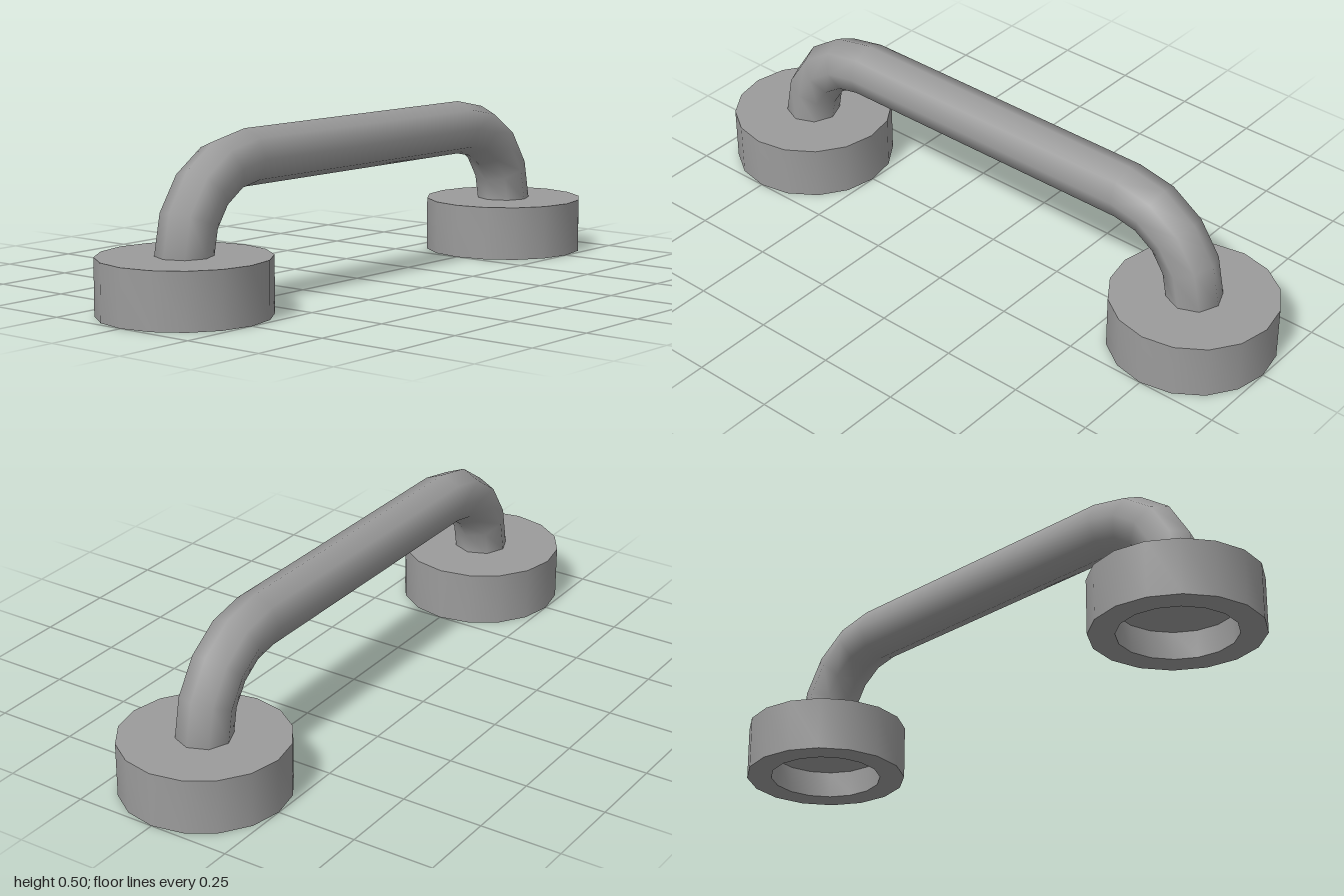
import * as THREE from 'three';
import { toCreasedNormals } from 'three/addons/utils/BufferGeometryUtils.js';

const BAR_RADIUS = 1 / 12;
const BEND_RADIUS = 0.25;
const BASE_RADIUS = 0.25;
const BASE_HEIGHT = 1 / 6;
const HALF_GRIP = 0.5;

export function createModel() {
  const model = new THREE.Group();
  model.name = 'handle';
  const material = new THREE.MeshStandardMaterial({ color: 0x9b9b9b });

  const add = (name, geometry, x, y) => {
    const mesh = new THREE.Mesh(geometry, material);
    mesh.name = name;
    mesh.position.set(x, y, 0);
    model.add(mesh);
    return mesh;
  };

  // Round foot with a shallow socket underneath
  const profile = [
    [0, BASE_HEIGHT / 2], [0.173, BASE_HEIGHT / 2], [0.173, 0],
    [BASE_RADIUS, 0], [BASE_RADIUS, BASE_HEIGHT], [0, BASE_HEIGHT],
  ].map(([r, y]) => new THREE.Vector2(r, y));
  const footGeometry = toCreasedNormals(new THREE.LatheGeometry(profile, 16), 0.6);

  // Quarter bend from the foot up to the grip
  const bendGeometry = new THREE.TorusGeometry(BEND_RADIUS, BAR_RADIUS, 8, 4, Math.PI / 2);

  for (const [side, sign] of [['left', 1], ['right', -1]]) {
    add(`${side}Foot`, footGeometry, sign * (HALF_GRIP + BEND_RADIUS), 0);
    const bend = add(`${side}Bend`, bendGeometry, sign * HALF_GRIP, BASE_HEIGHT);
    if (sign < 0) bend.rotation.y = Math.PI;
  }

  // Straight grip, open where it meets the bends
  const gripGeometry = new THREE.CylinderGeometry(BAR_RADIUS, BAR_RADIUS, 2 * HALF_GRIP, 8, 1, true);
  gripGeometry.rotateZ(Math.PI / 2);
  add('grip', gripGeometry, 0, BASE_HEIGHT + BEND_RADIUS);

  return model;
}
